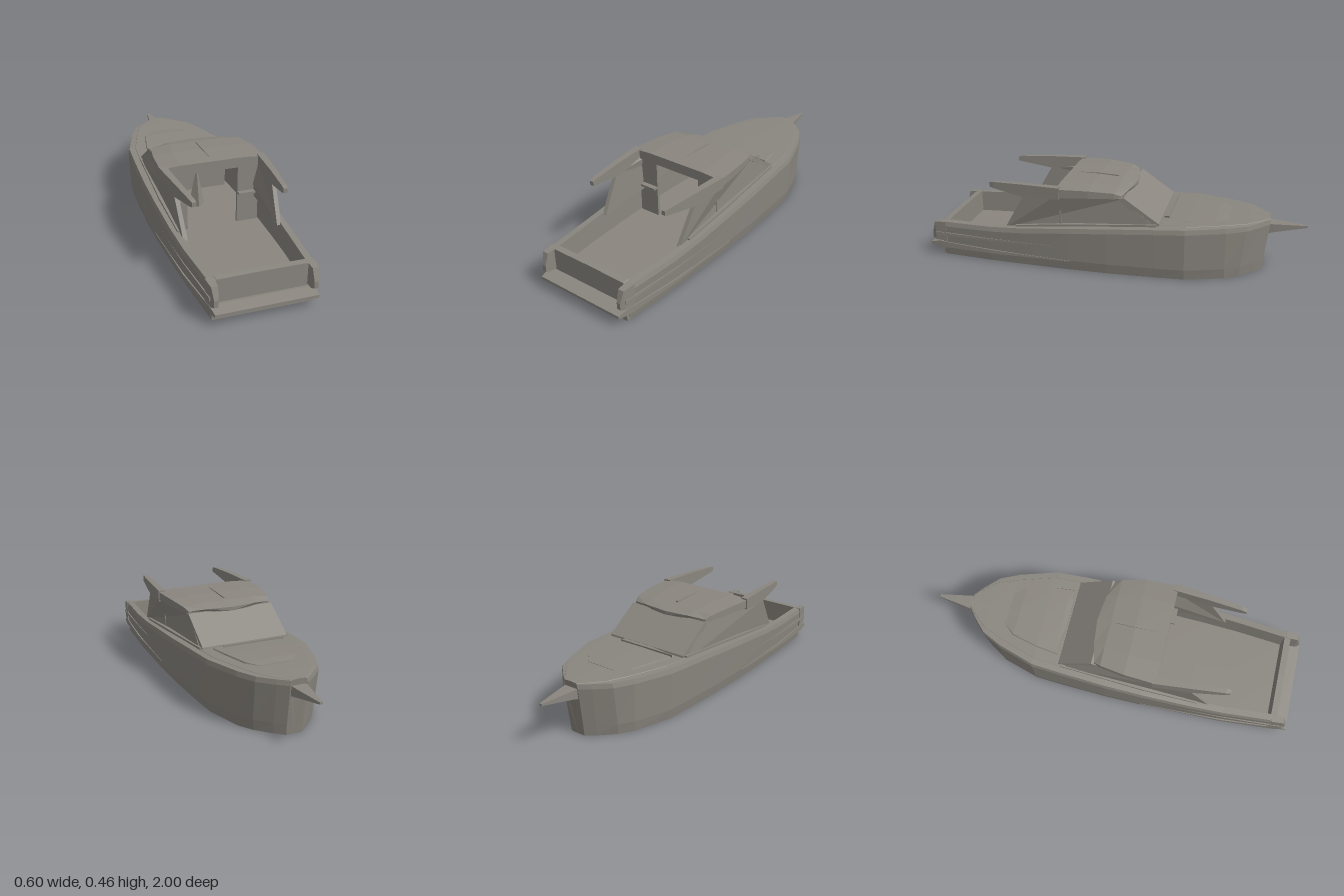
import * as THREE from 'three';

const grey = new THREE.MeshStandardMaterial({ color: 0x8a867f, flatShading: true });
grey.name = 'warm grey';

// Closed solid through a row of rings; each ring runs counterclockwise as seen from the first end.
function loft(name, rings) {
  const pos = [];
  const tri = (a, b, c) => pos.push(...a, ...b, ...c);
  const n = rings[0].length;
  for (let i = 0; i < rings.length - 1; i++) {
    for (let j = 0; j < n; j++) {
      const k = (j + 1) % n;
      const a = rings[i][j], b = rings[i][k], c = rings[i + 1][k], d = rings[i + 1][j];
      tri(a, d, c);
      tri(a, c, b);
    }
  }
  const first = rings[0], last = rings[rings.length - 1];
  for (let j = 1; j < n - 1; j++) {
    tri(first[0], first[j], first[j + 1]);
    tri(last[0], last[j + 1], last[j]);
  }
  const g = new THREE.BufferGeometry();
  g.setAttribute('position', new THREE.Float32BufferAttribute(pos, 3));
  g.computeVertexNormals();
  const mesh = new THREE.Mesh(g, grey);
  mesh.name = name;
  return mesh;
}

// Ring at one z from its right half, listed bottom centre to top centre.
const symRing = (z, half) => [
  ...half.map(([x, y, dz = 0]) => [x, y, z + dz]),
  ...half.slice(1, -1).reverse().map(([x, y, dz = 0]) => [-x, y, z + dz]),
];

// Rectangular ring at one z.
const rect = (z, x0, x1, y0, y1) => [[x0, y0, z], [x1, y0, z], [x1, y1, z], [x0, y1, z]];

// Copy rings to the other side, keeping faces outward.
const mirror = rings => rings.map(r => r.map(([x, y, z]) => [-x, y, z]).reverse());

function addPair(group, name, rings) {
  group.add(loft(name + 'Left', rings), loft(name + 'Right', mirror(rings)));
}

function box(name, w, h, d, x, y, z) {
  const m = new THREE.Mesh(new THREE.BoxGeometry(w, h, d), grey);
  m.position.set(x, y, z);
  m.name = name;
  return m;
}

export function createModel() {
  const boat = new THREE.Group();
  boat.name = 'motorBoat';

  // Hull with sunken cockpit: z, half width, sheer height, open (1) or decked (0)
  const floorY = 0.08;
  const stations = [
    [0.925, 0.258, 0.193, 0], [0.892, 0.262, 0.195, 0], [0.89, 0.262, 0.195, 1],
    [0.64, 0.283, 0.2, 1], [0.45, 0.292, 0.212, 1], [0.2, 0.3, 0.238, 1],
    [0, 0.3, 0.254, 1], [-0.2, 0.292, 0.268, 1], [-0.24, 0.29, 0.27, 1],
    [-0.245, 0.29, 0.27, 0], [-0.4, 0.28, 0.278, 0], [-0.6, 0.216, 0.281, 0],
    [-0.7, 0.168, 0.283, 0], [-0.77, 0.095, 0.283, 0], [-0.81, 0.045, 0.283, 0],
  ];
  boat.add(loft('hull', stations.map(([z, w, y, open]) => {
    const rake = z < -0.6 ? 0.03 : 0;
    const inner = Math.max(w - 0.04, w * 0.8);
    const low = open ? floorY : y + 0.004;
    return symRing(z, [
      [0, 0, rake], [w * 0.935, 0, rake], [w * 0.97, 0.055, rake * 0.8],
      [w, y - 0.025], [w - 0.006, y], [inner, y + 0.002],
      [inner - 0.002, low], [0, open ? floorY : y + 0.006],
    ]);
  })));

  // Lower transom, swim platform and rubbing rails
  boat.add(box('lowerTransom', 0.485, 0.05, 0.06, 0, 0.025, 0.91));
  boat.add(loft('swimPlatform', [
    [1, 0.248, 0.053, 0.068], [0.94, 0.256, 0.043, 0.08], [0.88, 0.262, 0.045, 0.076],
    [0.64, 0.283, 0.048, 0.068], [0.2, 0.293, 0.05, 0.055],
  ].map(([z, w, y0, y1]) => rect(z, -w, w, y0, y1))));

  // Stern corner posts
  addPair(boat, 'sternCorner', [
    rect(0.985, 0.228, 0.248, 0.095, 0.13),
    rect(0.965, 0.224, 0.256, 0.088, 0.192),
    rect(0.9, 0.222, 0.263, 0.085, 0.197),
  ]);

  // Side moulding along the aft topsides
  addPair(boat, 'sideMoulding', [
    rect(0.96, 0.245, 0.262, 0.118, 0.135),
    rect(0.64, 0.27, 0.284, 0.122, 0.134),
    rect(0.3, 0.28, 0.293, 0.13, 0.134),
  ]);

  // Cabin sides, leaning out towards the aft pillars
  const sideOutline = [
    [0.252, 0.195, 0.56], [0.246, 0.255, -0.255], [0.236, 0.405, -0.08],
    [0.272, 0.41, 0.26], [0.262, 0.385, 0.45],
  ];
  addPair(boat, 'cabinSide', [
    sideOutline,
    sideOutline.map(([x, y, z]) => [x - 0.022, y, z]),
  ]);

  // Sill where the cabin meets the side deck
  addPair(boat, 'cabinSill', [
    rect(0.5, 0.235, 0.262, 0.2, 0.218),
    rect(0.2, 0.235, 0.268, 0.23, 0.252),
    rect(-0.25, 0.225, 0.252, 0.262, 0.284),
  ]);

  // Windshield and the dash below it
  const windshield = [[0.255, -0.215], [0.27, -0.265], [0.285, -0.262], [0.41, -0.08], [0.4, -0.055]];
  boat.add(loft('windshield', [0.24, -0.24].map(x => windshield.map(([y, z]) => [x, y, z]))));
  boat.add(box('dash', 0.46, 0.23, 0.05, 0, 0.195, -0.2));

  // Roof with crowned top and pointed front edge
  boat.add(loft('roof', [
    [0.27, 0.278, 0.396, 0.449, 0], [0.1, 0.268, 0.403, 0.45, 0],
    [-0.03, 0.246, 0.403, 0.44, 0], [-0.065, 0.232, 0.404, 0.424, -0.04],
  ].map(([z, w, y0, y1, point]) => symRing(z, [
    [0, y0, point], [w, y0], [w, y1 - 0.008], [w * 0.6, y1, point * 0.6], [0, y1, point],
  ]))));

  // Roof wings sweeping aft
  addPair(boat, 'roofWing', [
    rect(0.643, 0.215, 0.236, 0.413, 0.436),
    rect(0.62, 0.216, 0.242, 0.408, 0.442),
    rect(0.45, 0.23, 0.262, 0.378, 0.448),
    rect(0.25, 0.243, 0.282, 0.39, 0.45),
  ]);

  // Roof fin
  boat.add(loft('roofFin', [
    rect(0.21, -0.003, 0.003, 0.44, 0.451),
    rect(0.1, -0.009, 0.009, 0.44, 0.455),
    rect(0, -0.006, 0.006, 0.435, 0.449),
  ]));

  // Aft bulkhead either side of the doorway
  for (const s of [1, -1]) {
    boat.add(box('bulkheadPanel', 0.115, 0.325, 0.014, s * 0.1925, 0.24, 0.255));
    boat.add(box('bulkheadHandle', 0.09, 0.012, 0.03, s * 0.18, 0.25, 0.275));
  }

  // Helm console inside the cabin
  const helm = new THREE.Mesh(new THREE.ConeGeometry(0.045, 0.22, 4), grey);
  helm.position.set(0, 0.19, 0);
  helm.name = 'helm';
  boat.add(helm);

  // Raised foredeck hatch
  boat.add(loft('foredeckTrunk', [
    [-0.28, 0.2, 0.284], [-0.4, 0.185, 0.292], [-0.54, 0.15, 0.294], [-0.6, 0.1, 0.289],
  ].map(([z, w, y]) => symRing(z, [[0, 0.265], [w, 0.265], [w - 0.012, y - 0.002], [0, y]]))));
  boat.add(loft('foredeckVent', [
    rect(-0.272, -0.05, 0.13, 0.28, 0.289),
    rect(-0.3, -0.2, 0.14, 0.28, 0.293),
  ]));

  // Bowsprit
  boat.add(loft('bowsprit', [
    rect(-0.78, -0.042, 0.042, 0.2, 0.258),
    rect(-0.83, -0.036, 0.036, 0.212, 0.256),
    rect(-1, -0.007, 0.007, 0.24, 0.25),
  ]));

  return boat;
}
